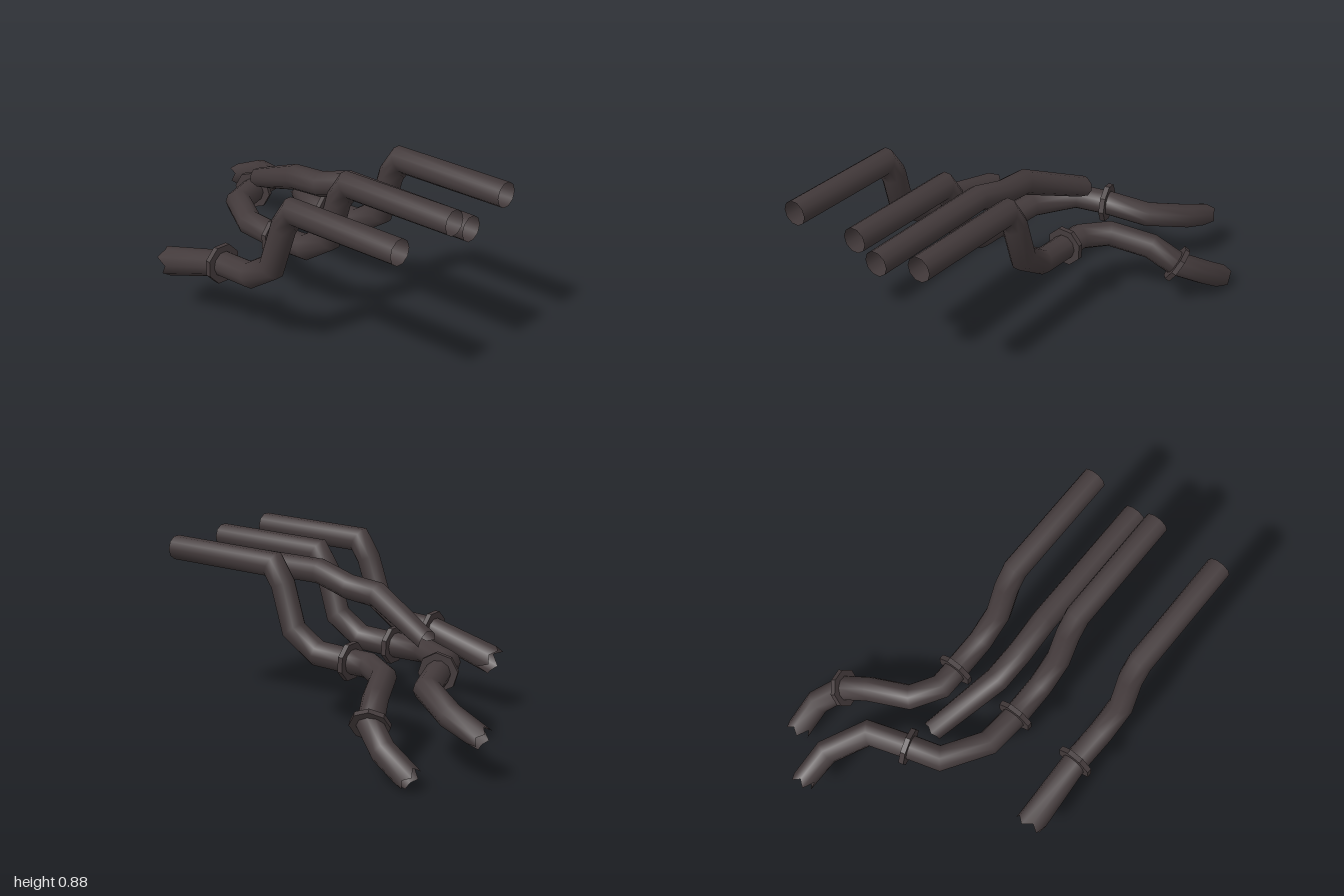
import * as THREE from 'three';

const SIDES = 10, RADIUS = 0.063;
const V = (p) => new THREE.Vector3(...p);

// Pipe with mitred bends: each ring slides along its segment onto the next bisecting plane.
// flare scales the last ring; torn shifts its corners along the pipe for a ragged end.
function pipeGeometry(path, flare, torn) {
  const pts = path.map(V);
  const dirs = pts.slice(1).map((p, i) => p.clone().sub(pts[i]).normalize());
  const across = new THREE.Vector3(0, 0, 1);
  const up = across.clone().cross(dirs[0]).normalize();
  let ring = [];
  for (let k = 0; k < SIDES; k++) {
    const a = ((k + 0.5) / SIDES) * Math.PI * 2 + Math.PI / 2;
    ring.push(pts[0].clone()
      .addScaledVector(up, Math.sin(a) * RADIUS)
      .addScaledVector(across, Math.cos(a) * RADIUS));
  }
  const pos = [], index = [];
  ring.forEach((v) => pos.push(v.x, v.y, v.z));
  for (let i = 1; i < pts.length; i++) {
    const d = dirs[i - 1], last = i === pts.length - 1;
    const n = last ? d : d.clone().add(dirs[i]).normalize();
    ring = ring.map((v, k) => {
      const t = pts[i].clone().sub(v).dot(n) / d.dot(n);
      const q = v.clone().addScaledVector(d, t);
      if (last) q.sub(pts[i]).multiplyScalar(flare).add(pts[i]).addScaledVector(d, torn[k]);
      return q;
    });
    ring.forEach((v) => pos.push(v.x, v.y, v.z));
    for (let k = 0; k < SIDES; k++) {
      const a = (i - 1) * SIDES + k, b = (i - 1) * SIDES + ((k + 1) % SIDES);
      index.push(a, b, a + SIDES, b, b + SIDES, a + SIDES);
    }
  }
  const g = new THREE.BufferGeometry();
  g.setAttribute('position', new THREE.Float32BufferAttribute(pos, 3));
  g.setIndex(index);
  g.computeVertexNormals();
  return g;
}

// Flat-sided octagonal ring, axis along y
function flangeGeometry() {
  const octagon = (r) => Array.from({ length: 8 }, (_, k) => {
    const a = ((k + 0.5) / 8) * Math.PI * 2;
    return new THREE.Vector2(Math.cos(a) * r, Math.sin(a) * r);
  });
  const shape = new THREE.Shape(octagon(0.098));
  shape.holes.push(new THREE.Path(octagon(0.058)));
  const g = new THREE.ExtrudeGeometry(shape, { depth: 0.026, bevelEnabled: false });
  return g.translate(0, 0, -0.013).rotateX(-Math.PI / 2);
}

export function createModel() {
  const group = new THREE.Group();
  const metal = new THREE.MeshStandardMaterial({ color: 0x433a3b, side: THREE.DoubleSide });
  metal.name = 'dark pipe metal';

  // Shared raised run and drop down to the first flange
  const run = (z, sway = 0) => [
    [1, 0.826, z], [0.38, 0.812, z], [0.32, 0.72, z], [0.255, 0.495, z + sway],
    [0.11, 0.397, z + sway / 2], [-0.085, 0.387, z],
  ];
  const ragged = [0.01, -0.04, 0.02, 0.0, 0.025, -0.01, 0.02, -0.035, 0.015, 0.0];
  const split = [-0.02, 0.01, 0.015, 0.01, 0.0, 0.01, 0.0, 0.005, -0.03, -0.14];

  const pipes = [
    { name: 'frontPipe', flare: 1.15, torn: ragged, flanges: [5],
      path: [...run(0.612, 0.014), [-0.44, 0.275, 0.618]] },
    { name: 'middlePipe', flare: 0.92, torn: ragged, flanges: [5, 8],
      path: [...run(0.237), [-0.28, 0.39, 0.222], [-0.49, 0.39, 0.09], [-0.54, 0.387, -0.07],
        [-0.605, 0.362, -0.275], [-0.8, 0.298, -0.388], [-0.97, 0.225, -0.4]] },
    { name: 'backPipe', flare: 1.0, torn: ragged, flanges: [5, 9],
      path: [...run(-0.145), [-0.2, 0.383, -0.147], [-0.335, 0.367, -0.235], [-0.42, 0.325, -0.43],
        [-0.475, 0.24, -0.555], [-0.6, 0.158, -0.635], [-0.745, 0.06, -0.645]] },
    { name: 'upperPipe', flare: 0.85, torn: split, flanges: [],
      path: [[1, 0.75, 0.112], [0.28, 0.743, 0.112], [0.1, 0.685, 0.112], [-0.075, 0.667, 0.108],
        [-0.425, 0.512, 0.0]] },
  ];

  const flangeGeo = flangeGeometry();
  for (const { name, path, flare, torn, flanges } of pipes) {
    const assembly = new THREE.Group();
    assembly.name = name;
    const tube = new THREE.Mesh(pipeGeometry(path, flare, torn), metal);
    tube.name = name + 'Tube';
    assembly.add(tube);
    // Joint flanges face along the incoming segment
    flanges.forEach((i) => {
      const flange = new THREE.Mesh(flangeGeo, metal);
      flange.name = 'flange';
      flange.position.set(...path[i]);
      const d = V(path[i]).sub(V(path[i - 1])).normalize();
      flange.quaternion.setFromUnitVectors(new THREE.Vector3(0, 1, 0), d);
      assembly.add(flange);
    });
    group.add(assembly);
  }
  return group;
}
